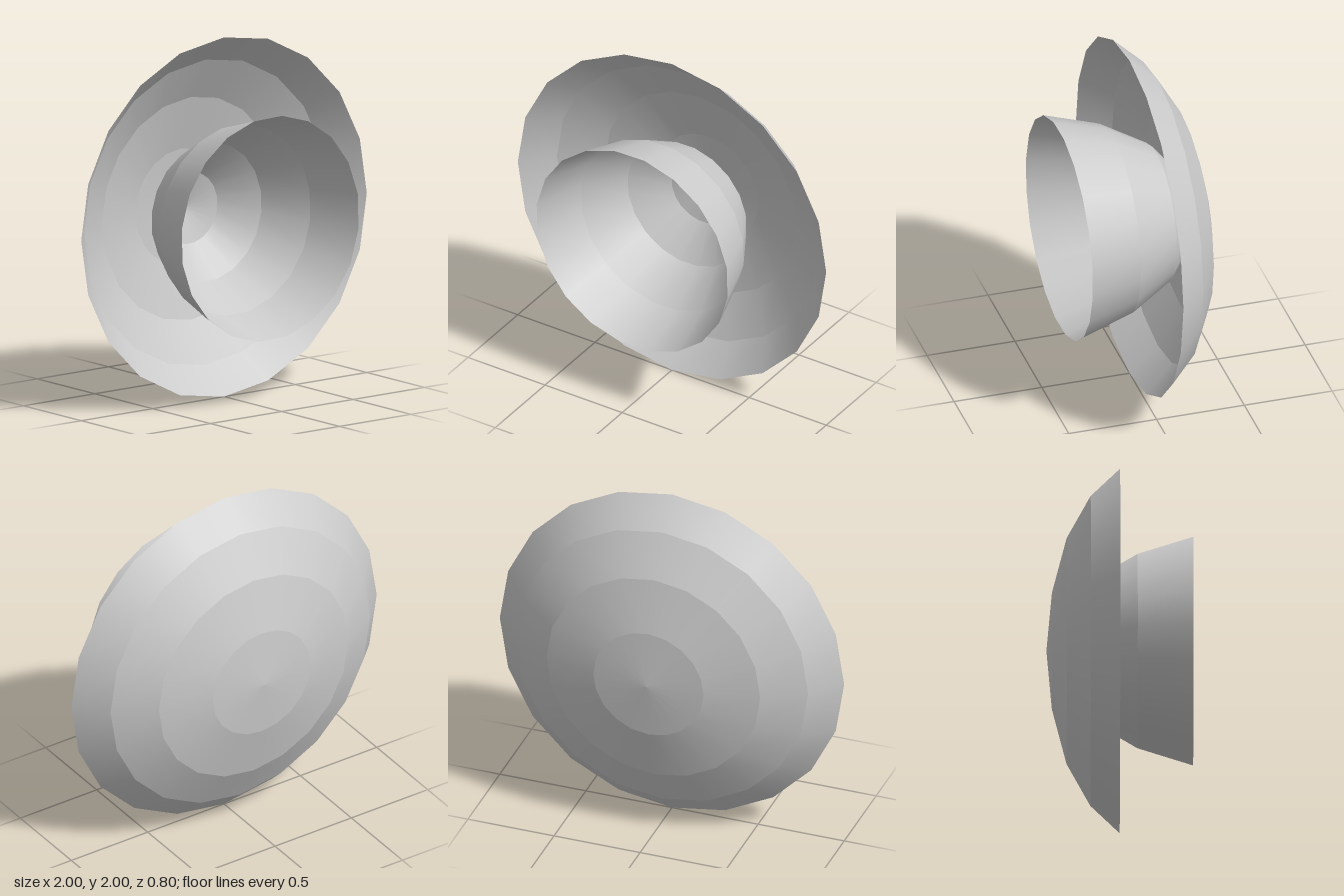
import * as THREE from 'three';
import { mergeGeometries } from 'three/addons/utils/BufferGeometryUtils.js';

const SIDES = 20;

// Shallow bowl profile: [radius, depth], from rim to apex
const PROFILE = [[1, 0], [0.85, -0.16], [0.62, -0.29], [0.32, -0.37], [0, -0.4]];

// Open bowl facing +z: each band is smooth around, with a crisp edge between bands
function bowl(name, radius, depthScale, rimZ, twist, material) {
  const points = PROFILE.map(([r, d]) => new THREE.Vector2(r * radius, d * depthScale));
  const bands = [];
  for (let i = 0; i < points.length - 1; i++) {
    bands.push(new THREE.LatheGeometry([points[i + 1], points[i]], SIDES));
  }
  const geometry = mergeGeometries(bands);
  geometry.rotateX(Math.PI / 2);
  geometry.rotateZ(twist);
  const mesh = new THREE.Mesh(geometry, material);
  mesh.name = name;
  mesh.position.set(0, 1, rimZ);
  return mesh;
}

export function createModel() {
  const group = new THREE.Group();
  group.name = 'nestedDish';
  const material = new THREE.MeshStandardMaterial({ color: 0xcccccc, side: THREE.DoubleSide });

  // Wide dish at the back, deeper cup nested in its centre
  group.add(bowl('outerDish', 1, 1, 0, 0, material));
  group.add(bowl('innerCup', 0.624, 1.9, 0.4, THREE.MathUtils.degToRad(10.5), material));
  return group;
}
